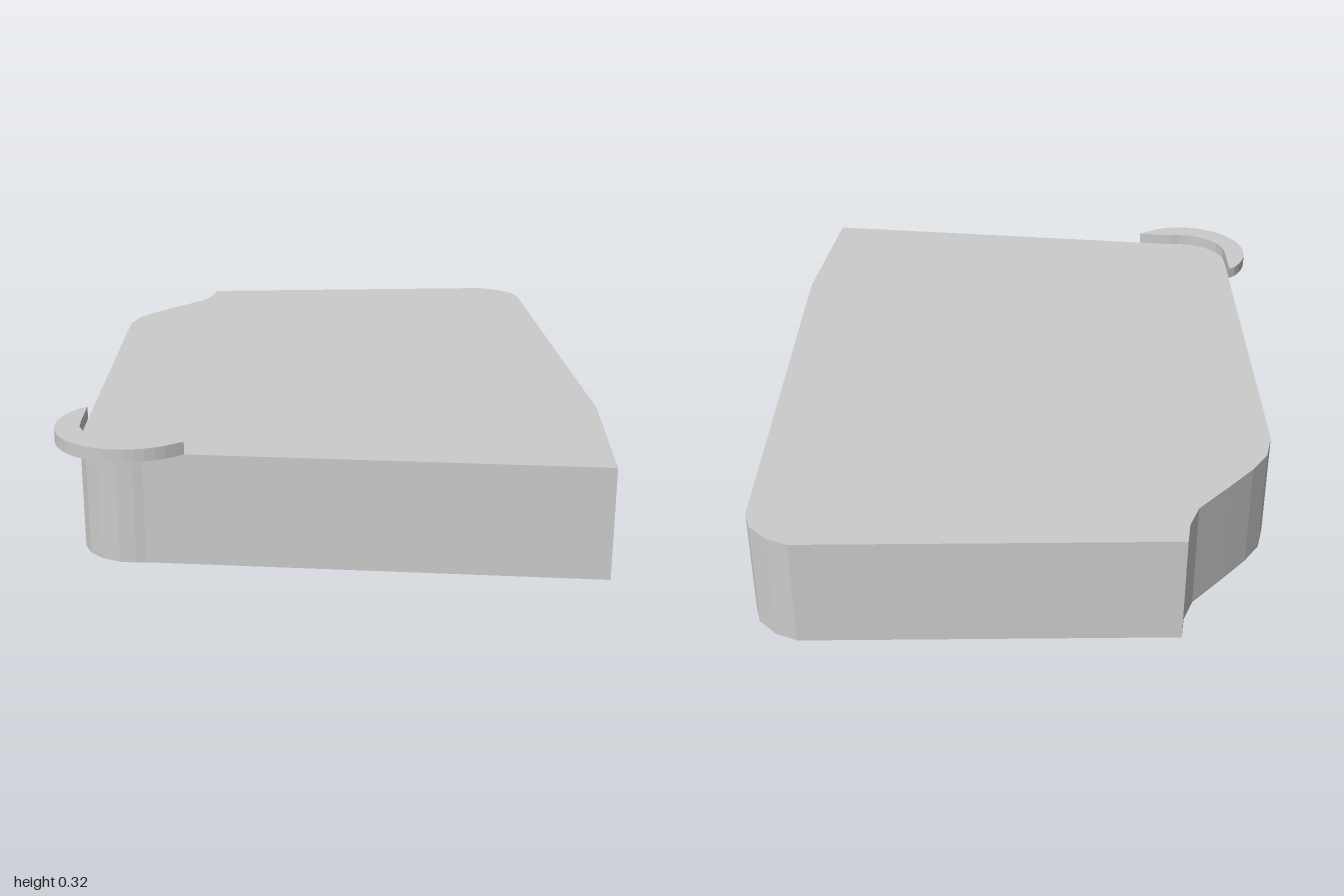
import * as THREE from 'three';

const HEIGHT = 0.29;
const STOREYS = 7;

// rounded front-right corner, shared by the walls and the canopy
const CORNER = [
  [-0.62, 0.655], [-0.645, 0.652], [-0.685, 0.638], [-0.725, 0.607],
  [-0.752, 0.565], [-0.762, 0.52], [-0.755, 0.47],
];

// footprint as x, z, clockwise seen from above
const OUTLINE = [
  [-0.212, -1], [0.72, -0.845], [0.77, -0.81], [0.808, -0.755], [0.815, -0.70],
  [0.6, 0.55], [0.472, 0.995],
  ...CORNER,
  [-0.57, -0.5], [-0.55, -0.6], [-0.515, -0.675], [-0.46, -0.73],
  [-0.38, -0.793], [-0.275, -0.873], [-0.235, -0.935],
];

// shape coordinates use y = -z so that a quarter turn lays them flat
const toShape = (points) => new THREE.Shape(points.map(([x, z]) => new THREE.Vector2(x, -z)));

function wallBand(y0, y1) {
  const pos = [];
  OUTLINE.forEach(([ax, az], i) => {
    const [bx, bz] = OUTLINE[(i + 1) % OUTLINE.length];
    pos.push(ax, y0, az, ax, y1, az, bx, y1, bz);
    pos.push(ax, y0, az, bx, y1, bz, bx, y0, bz);
  });
  const g = new THREE.BufferGeometry();
  g.setAttribute('position', new THREE.Float32BufferAttribute(pos, 3));
  g.computeVertexNormals();
  return g;
}

export function createModel() {
  const model = new THREE.Group();
  model.name = 'building';
  const material = new THREE.MeshStandardMaterial({
    color: 0xcccccc, flatShading: true, side: THREE.DoubleSide,
  });
  const add = (name, geometry, parent = model) => {
    const mesh = new THREE.Mesh(geometry, material);
    mesh.name = name;
    parent.add(mesh);
    return mesh;
  };

  // outer walls, one band per storey, open underneath
  const walls = new THREE.Group();
  walls.name = 'walls';
  model.add(walls);
  const step = HEIGHT / STOREYS;
  for (let i = 0; i < STOREYS; i++) {
    add(`storeyWall${i + 1}`, wallBand(i * step, (i + 1) * step), walls);
  }

  // flat roof
  const roof = add('roof', new THREE.ShapeGeometry(toShape(OUTLINE)).rotateX(-Math.PI / 2));
  roof.position.y = HEIGHT;

  // crescent canopy around the rounded corner
  const crescent = [[-0.52, 0.686], ...CORNER, [-0.735, 0.362]];
  const steps = 24;
  for (let i = 1; i < steps; i++) {
    const a = THREE.MathUtils.lerp(4.13, 0.98, i / steps);
    crescent.push([-0.63 + 0.195 * Math.cos(a), 0.522 + 0.195 * Math.sin(a)]);
  }
  const canopy = add('cornerCanopy', new THREE.ExtrudeGeometry(toShape(crescent), {
    depth: 0.033, bevelEnabled: false,
  }).rotateX(-Math.PI / 2));
  canopy.position.y = HEIGHT;

  return model;
}
